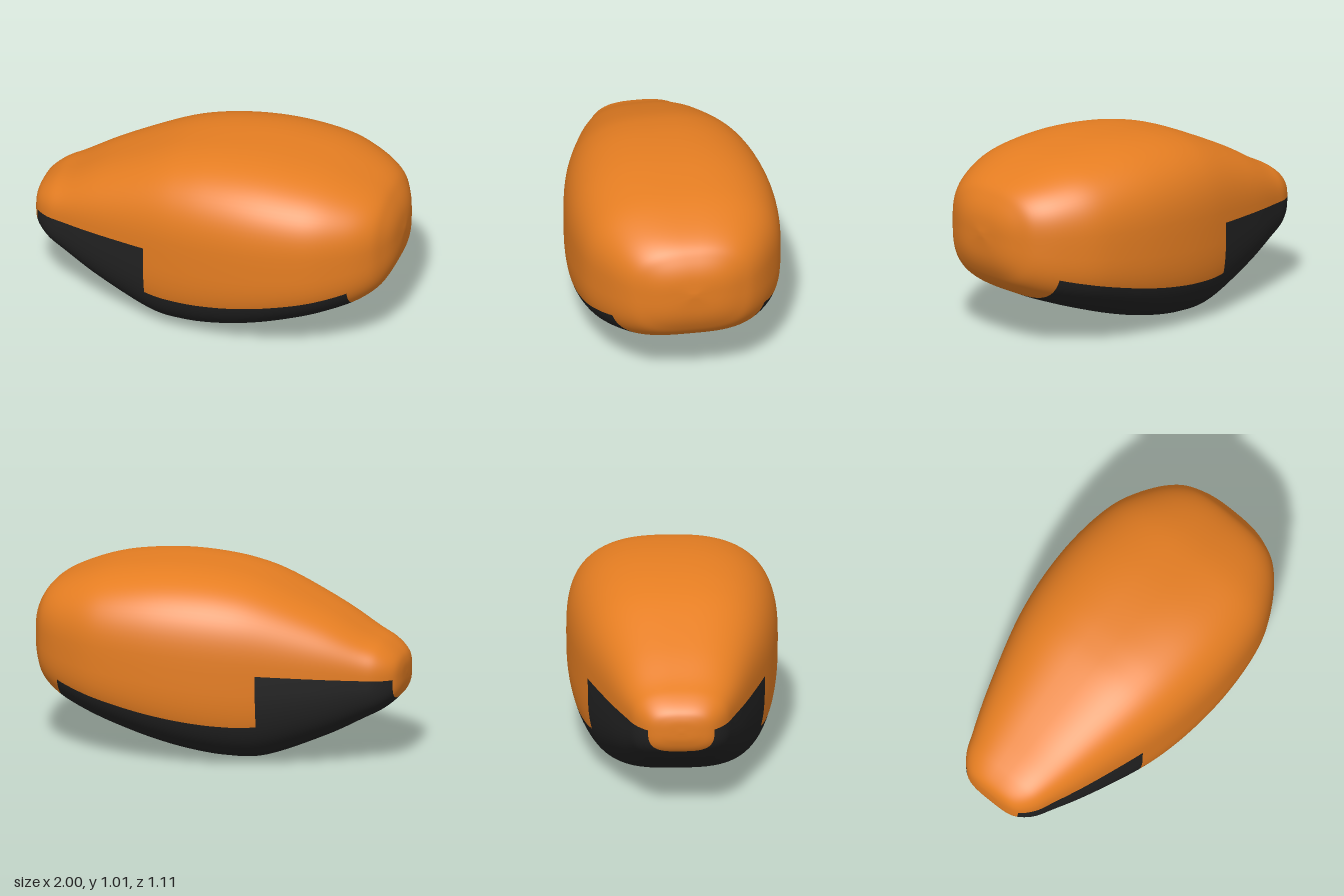
import * as THREE from 'three';

const orange = new THREE.MeshStandardMaterial({ color: 0xe67e22 });
orange.name = 'orange shell';
const black = new THREE.MeshStandardMaterial({ color: 0x222222 });
black.name = 'black panel';

// Cross-sections along the length: x, top, bottom, half width
const STATIONS = [
  [-1, 0.47, 0.47, 0],
  [-0.995, 0.535, 0.41, 0.1],
  [-0.97, 0.585, 0.352, 0.175],
  [-0.9, 0.64, 0.29, 0.24],
  [-0.8, 0.69, 0.235, 0.285],
  [-0.6, 0.8, 0.132, 0.365],
  [-0.3, 0.932, 0.014, 0.466],
  [-0.1, 0.985, 0.002, 0.517],
  [0.1, 1.007, 0.027, 0.546],
  [0.3, 1.008, 0.074, 0.555],
  [0.5, 0.988, 0.137, 0.54],
  [0.65, 0.958, 0.19, 0.503],
  [0.8, 0.905, 0.25, 0.425],
  [0.9, 0.85, 0.315, 0.342],
  [0.95, 0.79, 0.38, 0.26],
  [0.985, 0.71, 0.47, 0.155],
  [1, 0.602, 0.602, 0],
];
const STEPS = 6; // rings between two stations
const SIDES = 96;
const LAST = STATIONS.length - 1;
const EDGE = Math.sin(Math.PI / 8); // upper edge of the belly panel, 22.5 degrees below the side

const smooth = (pick) =>
  new THREE.CatmullRomCurve3(STATIONS.map(pick), false, 'catmullrom', 0.5);

// Rounded-box section, squarer below than above
function sectionPoint(x, top, bottom, width, angle) {
  const s = Math.sin(angle), c = Math.cos(angle);
  const power = 2 / (s < 0 ? 3.3 : 2.75);
  const middle = 0.536 + 0.066 * x;
  const height = s < 0 ? middle - bottom : top - middle;
  return [
    x,
    middle + Math.sign(s) * Math.max(height, 0) * Math.abs(s) ** power,
    Math.sign(c) * width * Math.abs(c) ** power,
  ];
}

// The dark panel covers the lower half at the nose and only the belly further back
function isPanel(x, angle) {
  const s = Math.sin(angle);
  if (x < -0.97 || x > 0.8) return false;
  return x < -0.3 ? s < 0 : s < -EDGE;
}

export function createModel() {
  const group = new THREE.Group();
  group.name = 'smoothPod';

  const outline = smooth(([x, top, bottom]) => new THREE.Vector3(x, top, bottom));
  const widths = smooth(([x, , , width]) => new THREE.Vector3(x, width, 0));
  const rings = LAST * STEPS;
  const positions = [], shellFaces = [], panelFaces = [], xs = [];

  for (let i = 0; i <= rings; i++) {
    const o = outline.getPoint(i / rings), w = widths.getPoint(i / rings);
    xs.push(o.x);
    for (let j = 0; j < SIDES; j++) {
      positions.push(...sectionPoint(o.x, o.y, o.z, Math.max(w.y, 0), (j / SIDES) * Math.PI * 2));
    }
  }

  for (let i = 0; i < rings; i++) {
    for (let j = 0; j < SIDES; j++) {
      const k = (j + 1) % SIDES;
      const a = i * SIDES + j, b = a + SIDES, c = (i + 1) * SIDES + k, d = i * SIDES + k;
      const panel = isPanel((xs[i] + xs[i + 1]) / 2, ((j + 0.5) / SIDES) * Math.PI * 2);
      const faces = panel ? panelFaces : shellFaces;
      if (i < rings - 1) faces.push(a, b, c);
      if (i > 0) faces.push(a, c, d);
    }
  }

  // Both parts share one set of points and normals, so the seam stays smooth
  const whole = new THREE.BufferGeometry();
  whole.setAttribute('position', new THREE.Float32BufferAttribute(positions, 3));
  whole.setIndex([...shellFaces, ...panelFaces]);
  whole.computeVertexNormals();
  // Give the two end points clean axial normals
  for (let j = 0; j < SIDES; j++) {
    whole.attributes.normal.setXYZ(j, -1, 0, 0);
    whole.attributes.normal.setXYZ(rings * SIDES + j, 1, 0, 0);
  }

  const addPart = (name, faces, material) => {
    const geometry = whole.clone();
    geometry.setIndex(faces);
    const mesh = new THREE.Mesh(geometry, material);
    mesh.name = name;
    group.add(mesh);
  };
  addPart('upperShell', shellFaces, orange);
  addPart('lowerPanel', panelFaces, black);
  return group;
}
